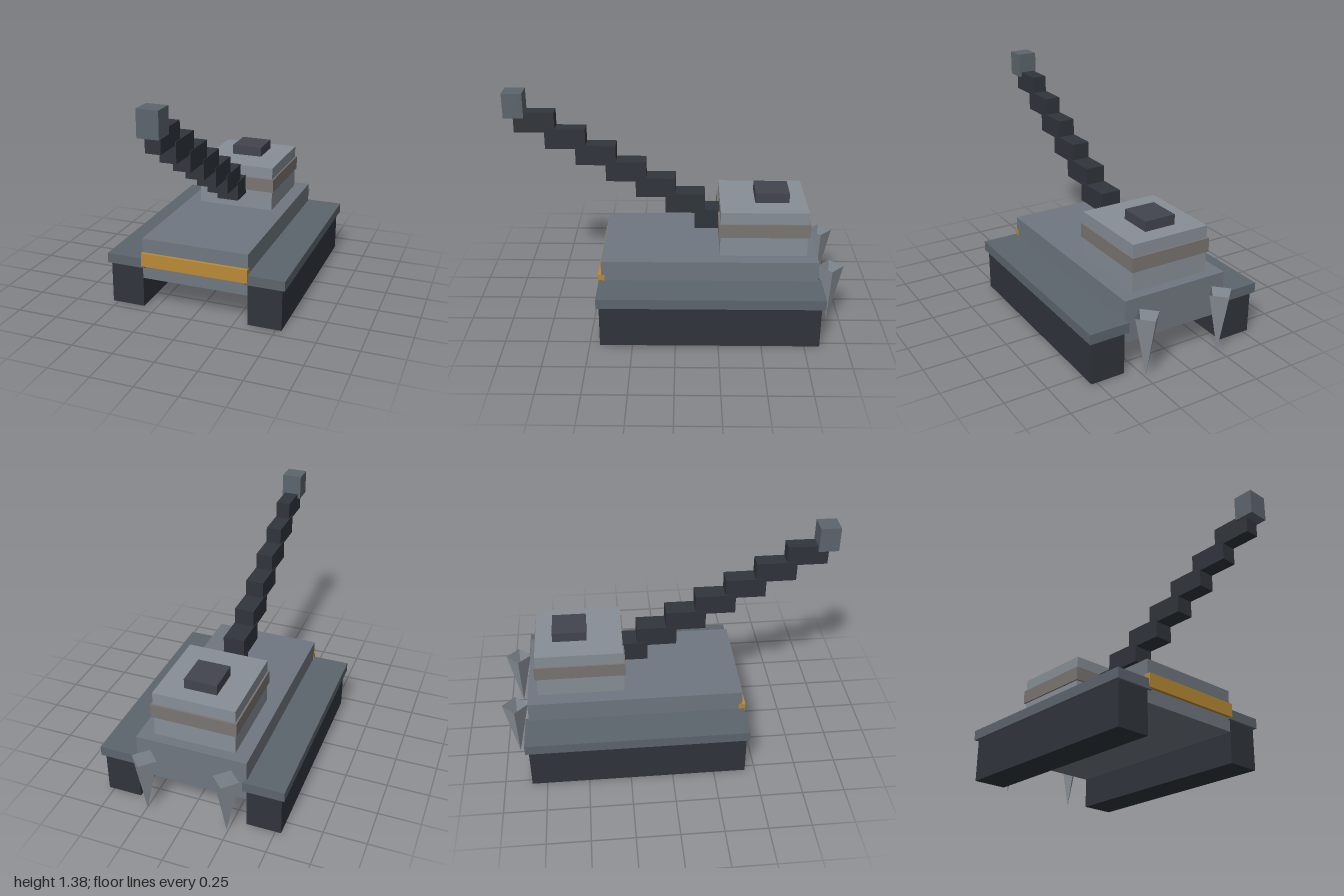
import * as THREE from 'three';

const mat = (color, side = THREE.FrontSide) =>
  new THREE.MeshStandardMaterial({ color, side, flatShading: true });

const hullGrey = mat(0x6f7780);
const fenderGrey = mat(0x5c656d);
const darkSteel = mat(0x30353c);
const turretGrey = mat(0x878f97);
const bandGrey = mat(0x7a7571);
const hatchGrey = mat(0x42454e);
const ochre = mat(0xb98a35);
const spikeGrey = mat(0x878f97, THREE.DoubleSide);

export function createModel() {
  const model = new THREE.Group();
  model.name = 'tank';

  // Box given by its extents along each axis
  const box = (name, material, [x0, x1], [y0, y1], [z0, z1], parent = model) => {
    const mesh = new THREE.Mesh(new THREE.BoxGeometry(x1 - x0, y1 - y0, z1 - z0), material);
    mesh.position.set((x0 + x1) / 2, (y0 + y1) / 2, (z0 + z1) / 2);
    mesh.name = name;
    parent.add(mesh);
    return mesh;
  };

  // Hull and coloured bow strip
  box('hull', hullGrey, [-0.328, 0.328], [0.186, 0.44], [-0.84, 0.44]);
  box('bowStrip', ochre, [-0.33, 0.33], [0.27, 0.353], [0.42, 0.46]);

  // Tracks, fenders and rear spikes, mirrored
  for (const [side, s] of [['left', 1], ['right', -1]]) {
    const span = (a, b) => (s > 0 ? [a, b] : [-b, -a]);
    box(side + 'Track', darkSteel, span(0.328, 0.533), [0, 0.262], [-0.84, 0.44]);
    box(side + 'Fender', fenderGrey, span(0.31, 0.552), [0.258, 0.318], [-0.86, 0.455]);

    const spike = new THREE.Mesh(new THREE.ConeGeometry(0.077, 0.37, 4, 1, true), spikeGrey);
    spike.rotation.x = Math.PI;
    spike.position.set(s * 0.242, 0.19, -0.923);
    spike.name = side + 'RearSpike';
    model.add(spike);
  }

  // Turret with surrounding band and roof hatch
  const turret = new THREE.Group();
  turret.name = 'turret';
  model.add(turret);
  box('turretBody', turretGrey, [-0.242, 0.242], [0.44, 0.72], [-0.778, -0.262], turret);
  box('turretBand', bandGrey, [-0.252, 0.252], [0.563, 0.647], [-0.79, -0.252], turret);
  box('hatch', hatchGrey, [-0.097, 0.097], [0.715, 0.78], [-0.675, -0.472], turret);

  // Stepped barrel, tapering in width as it rises
  const barrel = new THREE.Group();
  barrel.name = 'barrel';
  model.add(barrel);
  for (let i = 0; i < 7; i++) {
    const w = 0.068 - i * 0.0042, y = 0.596 + i * 0.1005, z = -0.23 + i * 0.1762;
    box('barrelSegment' + (i + 1), darkSteel, [-w, w], [y - 0.06, y + 0.06], [z - 0.119, z + 0.119], barrel);
  }
  box('muzzle', fenderGrey, [-0.06, 0.06], [1.23, 1.378], [0.882, 1], barrel);

  return model;
}
